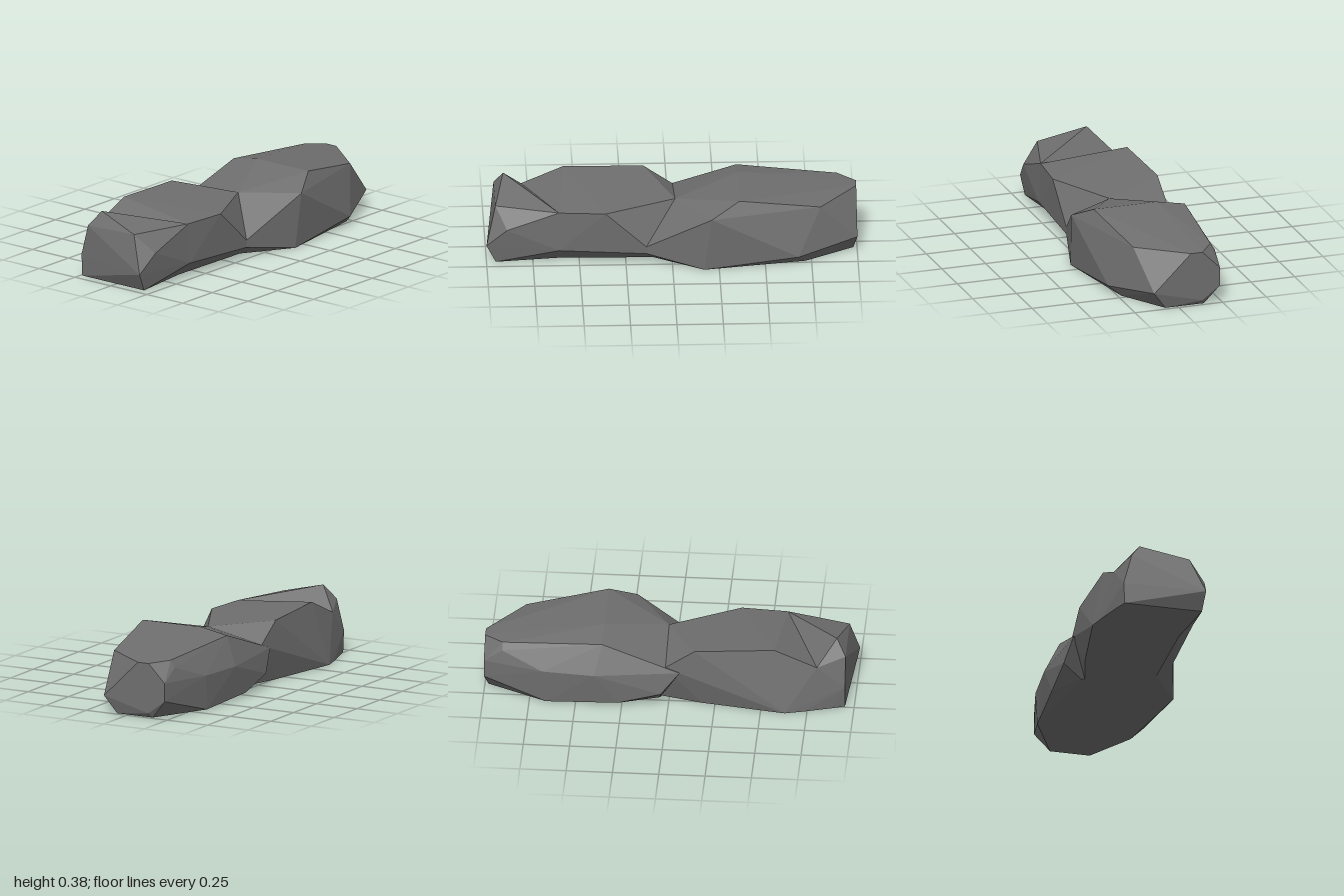
import * as THREE from 'three';
import { ConvexGeometry } from 'three/addons/geometries/ConvexGeometry.js';

// A long faceted boulder: three convex chunks that share corner points at their joins.
export function createModel() {
  const model = new THREE.Group();
  model.name = 'rock';
  const stone = new THREE.MeshStandardMaterial({ color: 0x6e6e6e });
  stone.name = 'grey stone';

  const chunk = (name, corners) => {
    const points = corners.map(([x, y, z]) => new THREE.Vector3(x, y, z));
    const mesh = new THREE.Mesh(new ConvexGeometry(points), stone);
    mesh.name = name;
    model.add(mesh);
  };

  // Corners shared by the peaked end and the middle
  const neck = [
    [-0.61, 0.3, 0.22], [-0.61, 0.08, 0.23], [-0.61, 0, 0.15],
    [-0.63, 0, -0.335], [-0.8, 0.25, -0.26], [-0.73, 0, -0.31],
  ];
  // Corners shared by the middle and the broad end
  const waist = [
    [0.02, 0.295, 0.05], [0.02, 0.225, -0.28],
    [-0.14, 0.1, 0.24], [-0.14, 0.06, 0.24], [-0.1, 0, 0.16],
  ];

  // Peaked end
  chunk('peakedEnd', [
    ...neck,
    [-0.9, 0.37, -0.145],
    [-0.95, 0.3, 0.12], [-0.95, 0.29, -0.2], [-0.95, 0.12, -0.245],
    [-1, 0.1, 0.2], [-0.89, 0.2, 0.22],
    [-0.95, 0, 0.19], [-0.95, 0, -0.24], [-0.88, 0, -0.265],
  ]);

  // Middle, with a flat top sloping to the front
  chunk('middle', [
    ...neck, ...waist,
    [-0.36, 0.3, 0.24],
    [-0.57, 0.35, -0.26], [-0.14, 0.335, -0.28],
    [-0.29, 0.2, -0.275], [-0.18, 0, -0.26], [0.05, 0, -0.2],
  ]);

  // Broad end, with a short ridge across its top
  chunk('broadEnd', [
    ...waist,
    [0.36, 0.375, 0.26], [0.36, 0.375, -0.1],
    [0.21, 0.3, 0.335], [0.8, 0.3, 0.19],
    [1, 0.3, -0.07], [1, 0.3, -0.135], [0.9, 0.308, -0.215], [0.9, 0.27, -0.24],
    [1, 0.2, -0.235], [1, 0.1, -0.235], [1, 0.025, -0.135], [1, 0.095, 0.14],
    [0.68, 0.05, 0.29], [0.17, 0, 0.325], [0.72, 0, 0.23], [0.98, 0, 0.07], [0.98, 0, -0.15],
    [0.36, 0.345, -0.26], [-0.06, 0.2, -0.29], [0.04, 0.08, -0.32],
    [0.4, 0.19, -0.335], [0.68, 0.19, -0.31],
    [0.05, 0, -0.22], [0.27, 0.02, -0.325], [0.66, 0, -0.305],
  ]);

  return model;
}
